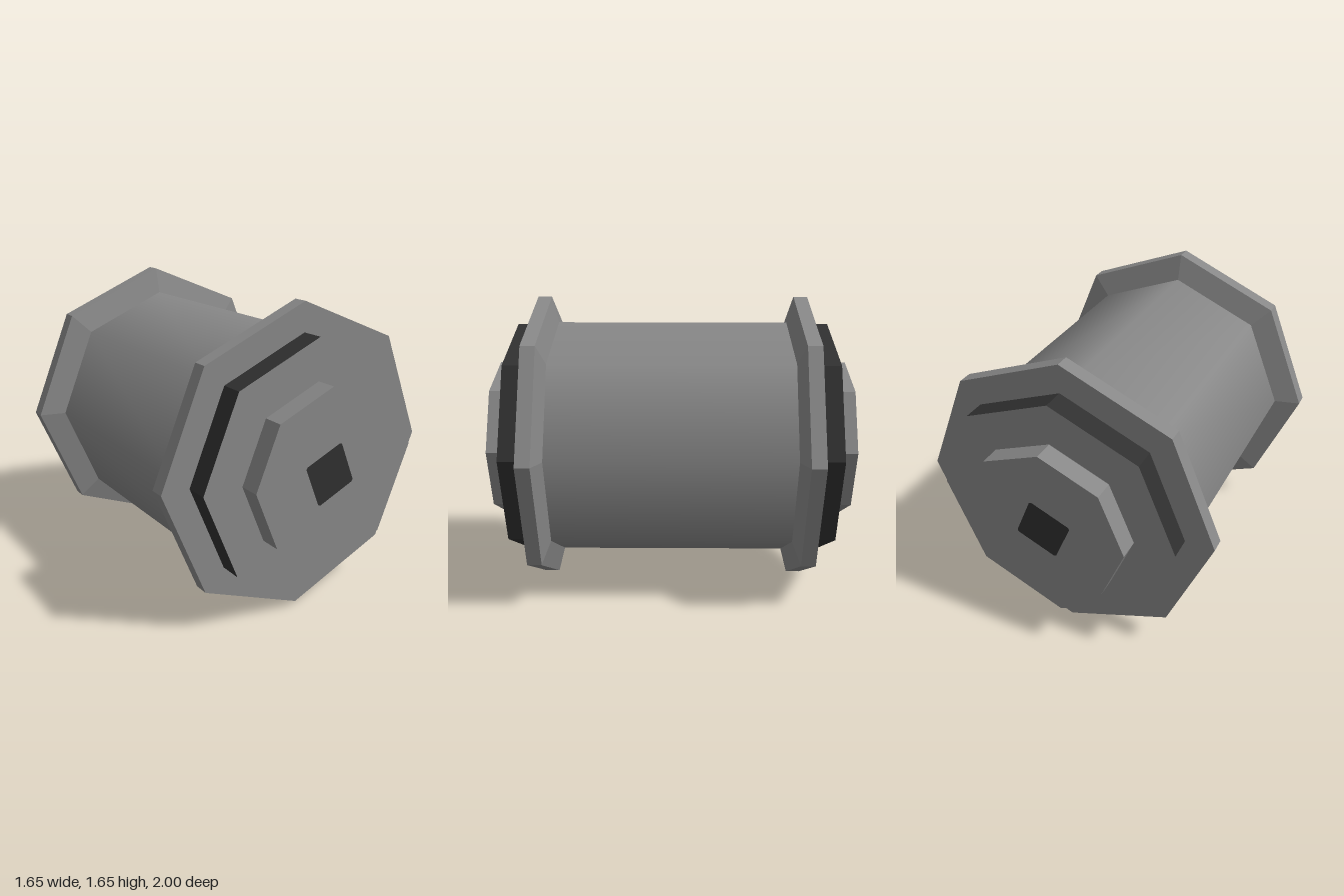
import * as THREE from 'three';

const CENTER_Y = 0.825;

// Eight-sided band along z, with a point at the top
function octagon(rBack, rFront, z0, z1, open = false, smooth = false) {
  let g = new THREE.CylinderGeometry(rFront, rBack, z1 - z0, 8, 1, open);
  g.rotateX(Math.PI / 2);
  g.translate(0, 0, (z0 + z1) / 2);
  if (!smooth) {
    g = g.toNonIndexed();
    g.computeVertexNormals();
  }
  return g;
}

// Square with slightly rounded corners
function roundedSquare(h, r) {
  const s = new THREE.Shape();
  s.absarc(h - r, h - r, r, 0, Math.PI / 2);
  s.absarc(r - h, h - r, r, Math.PI / 2, Math.PI);
  s.absarc(r - h, r - h, r, Math.PI, Math.PI * 1.5);
  s.absarc(h - r, r - h, r, Math.PI * 1.5, Math.PI * 2);
  return new THREE.ShapeGeometry(s, 4);
}

export function createModel() {
  const grey = new THREE.MeshStandardMaterial({ color: 0x888888 });
  grey.name = 'metal grey';
  const dark = new THREE.MeshStandardMaterial({ color: 0x303030 });
  dark.name = 'dark grey';

  const model = new THREE.Group();
  model.name = 'spool';
  const add = (parent, name, geometry, material) => {
    const mesh = new THREE.Mesh(geometry, material);
    mesh.name = name;
    parent.add(mesh);
    return mesh;
  };

  // Softly shaded barrel
  const barrel = add(model, 'barrel', octagon(0.68, 0.68, -0.66, 0.66, true, true), grey);
  barrel.position.y = CENTER_Y;

  // Matching ends; the socket runs straight through, so its turn is mirrored at the back
  for (const side of [1, -1]) {
    const end = new THREE.Group();
    end.name = side > 0 ? 'frontEnd' : 'backEnd';
    end.position.y = CENTER_Y;
    if (side < 0) end.rotation.y = Math.PI;
    add(end, 'flangeBevel', octagon(0.68, 0.825, 0.655, 0.692, true), grey);
    add(end, 'flange', octagon(0.825, 0.825, 0.692, 0.77), grey);
    // Dark rim with a grey face
    add(end, 'collar', octagon(0.67, 0.67, 0.77, 0.89), [dark, grey, dark]);
    add(end, 'hub', octagon(0.45, 0.45, 0.89, 1), grey);
    const socket = add(end, 'squareSocket', roundedSquare(0.12, 0.015), dark);
    socket.position.z = 1.002;
    socket.rotation.z = side * Math.PI / 8;
    model.add(end);
  }
  return model;
}
